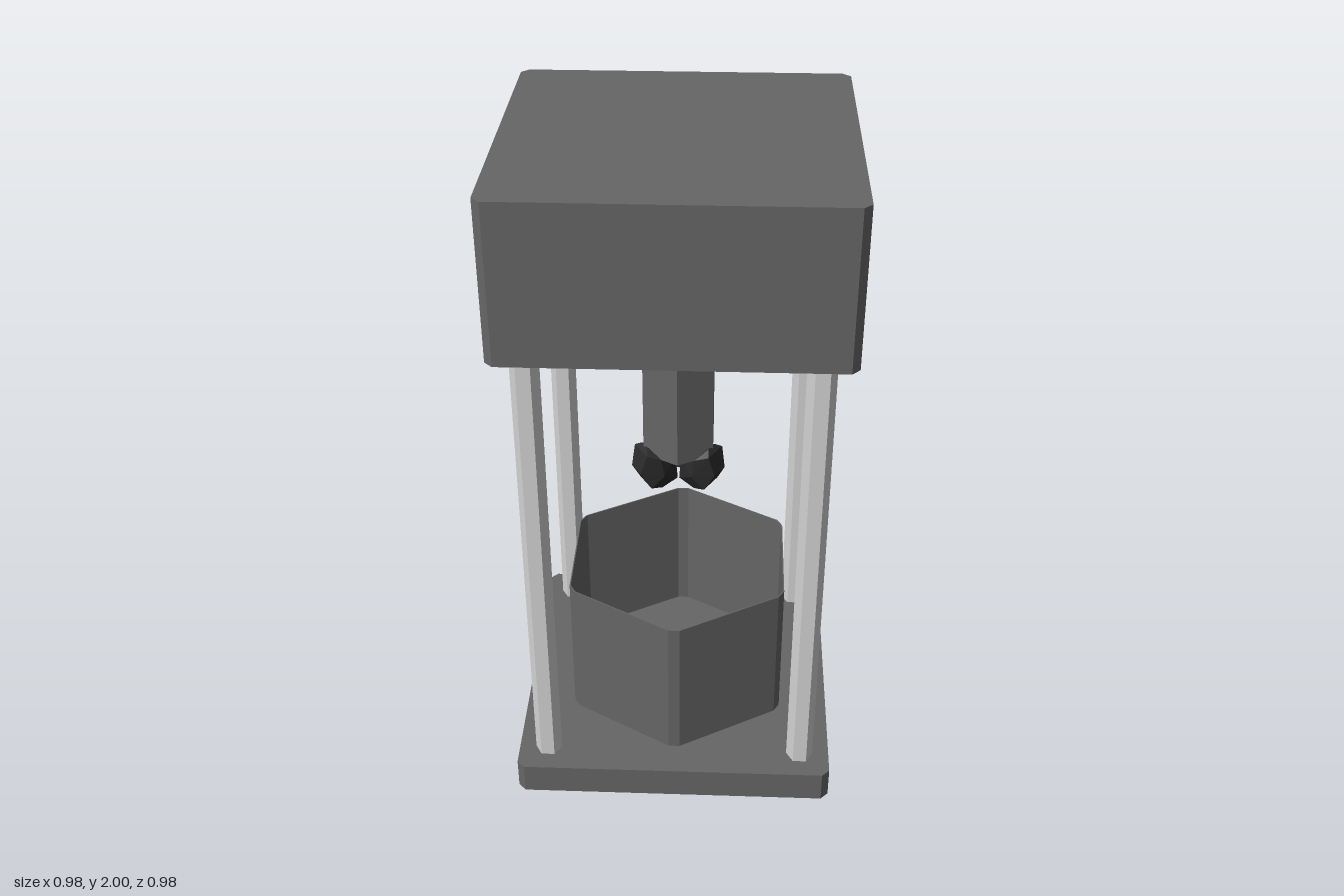
import * as THREE from 'three';
import { ConvexGeometry } from 'three/addons/geometries/ConvexGeometry.js';

const mat = (name, color) => new THREE.MeshStandardMaterial({ name, color, flatShading: true });

// Corners of a regular polygon in plan, starting at the given angle
function polygon(sides, radius, start) {
  return Array.from({ length: sides }, (_, i) => {
    const a = start + (i * 2 * Math.PI) / sides;
    return new THREE.Vector2(radius * Math.cos(a), radius * Math.sin(a));
  });
}

// Cuts each corner of an outline by a distance along its edges
function cutCorners(points, cut) {
  return points.flatMap((p, i) => {
    const prev = points[(i + points.length - 1) % points.length];
    const next = points[(i + 1) % points.length];
    return [prev, next].map((q) => p.clone().add(q.clone().sub(p).setLength(cut)));
  });
}

// Upright prism between two heights, optionally hollow
function prism(outline, y0, y1, hole) {
  const shape = new THREE.Shape(outline);
  if (hole) shape.holes.push(new THREE.Path(hole));
  return new THREE.ExtrudeGeometry(shape, { depth: y1 - y0, bevelEnabled: false })
    .rotateX(-Math.PI / 2)
    .translate(0, y0, 0);
}

export function createModel() {
  const group = new THREE.Group();
  const body = mat('dark grey metal', 0x666666);
  const steel = mat('light steel', 0xd4d4d4);
  const black = mat('black claw', 0x2a2a2a);

  const add = (name, geometry, material) => {
    const mesh = new THREE.Mesh(geometry, material);
    mesh.name = name;
    group.add(mesh);
    return mesh;
  };

  // Base plate and head block with clipped corners
  const square = cutCorners(polygon(4, 0.488 * Math.SQRT2, Math.PI / 4), 0.023);
  add('basePlate', prism(square, 0, 0.1), body);
  add('headBlock', prism(square, 1.54, 2), body);

  // Four hexagonal corner posts
  for (const x of [-0.396, 0.396]) {
    for (const z of [-0.393, 0.393]) {
      add('cornerPost', prism(polygon(6, 0.041, 0), 0.1, 1.54), steel).position.set(x, 0, z);
    }
  }

  // Thin-walled open hexagonal container
  const outer = cutCorners(polygon(6, 0.387, Math.PI / 6), 0.02);
  const inner = cutCorners(polygon(6, 0.383, Math.PI / 6), 0.02);
  add('container', prism(outer, 0.1, 0.575, inner), body);

  // Hanging shaft
  add('shaft', prism(polygon(6, 0.121, Math.PI / 6), 1.0, 1.54), body);

  // Three faceted claws; profile rows are outward distance, height, half width
  const profile = [
    [0.02, 0.9, 0.03], [0.03, 0.99, 0.035], [0.07, 0.876, 0.025],
    [0.115, 0.895, 0.04], [0.146, 0.95, 0.03], [0.13, 1.015, 0.04],
    [0.117, 1.03, 0.018], [0.09, 1.0, 0.055], [0.08, 0.94, 0.06],
  ];
  const points = profile.flatMap(([r, y, t]) => [
    new THREE.Vector3(t, y, r),
    new THREE.Vector3(-t, y, r),
  ]);
  const clawGeometry = new ConvexGeometry(points);
  for (let i = 0; i < 3; i++) {
    add('claw', clawGeometry, black).rotation.y = Math.PI + (i * 2 * Math.PI) / 3;
  }

  return group;
}
